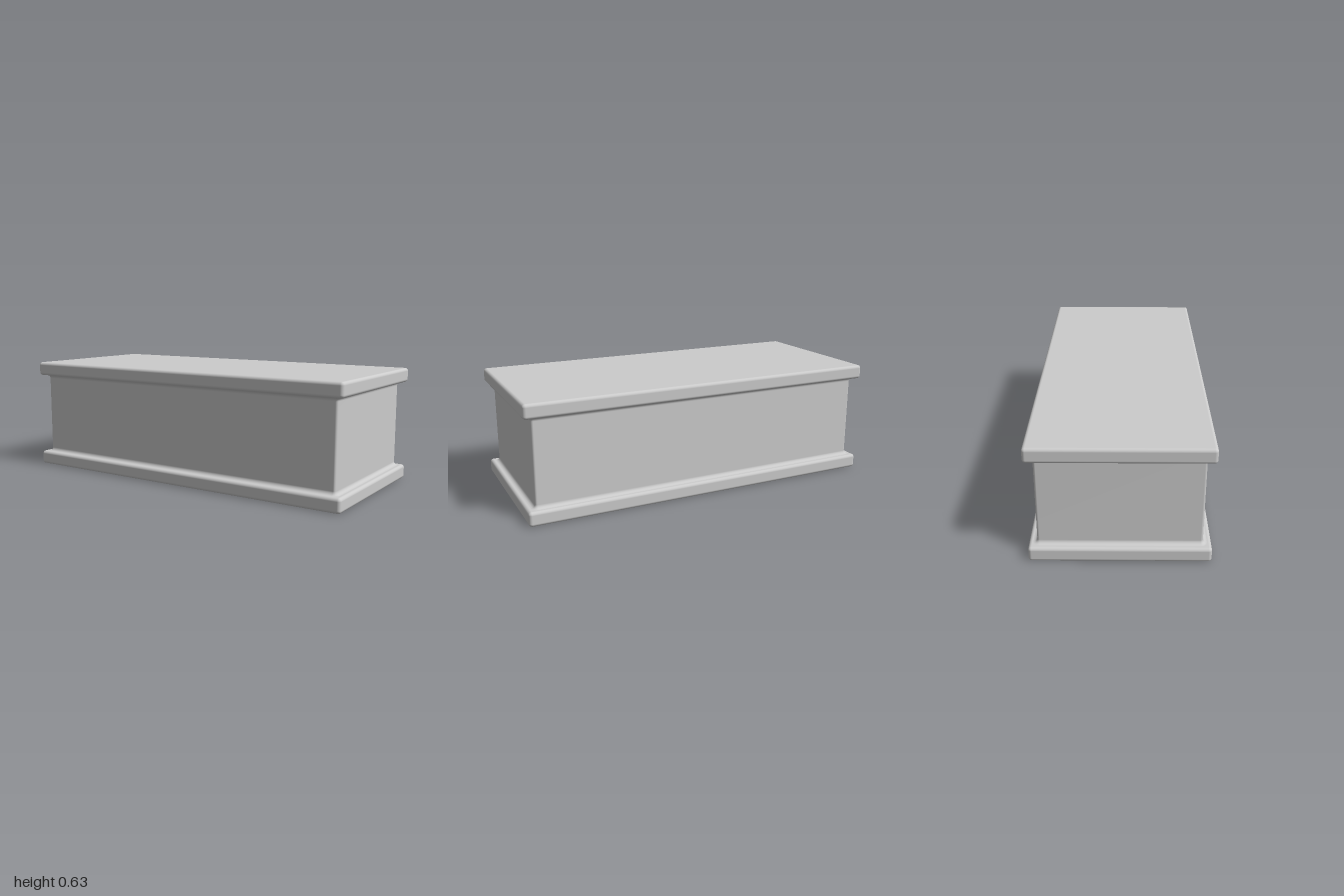
import * as THREE from 'three';
import { RoundedBoxGeometry } from 'three/addons/geometries/RoundedBoxGeometry.js';

const HALF_X = 0.955, HALF_Z = 0.402;   // body half sizes
const SLAB = 0.078, HEIGHT = 0.627;     // slab thickness, total height
const FILLET = 0.02, CORNER = 0.012;

// Rounded rectangle ring, counter-clockwise seen from above
function ring(out, y) {
  const points = [], steps = 3, r = CORNER + out;
  const signs = [[1, 1], [1, -1], [-1, -1], [-1, 1]];
  signs.forEach(([sx, sz], c) => {
    for (let i = 0; i <= steps; i++) {
      const a = Math.PI / 2 * (1 - c + -i / steps) + 0;
      points.push(sx * (HALF_X - CORNER) + r * Math.cos(a), y, sz * (HALF_Z - CORNER) + r * Math.sin(a));
    }
  });
  return points;
}

// Walls that flare with a concave fillet into both slabs
function bodyGeometry() {
  const profile = [], steps = 5;
  for (let i = 0; i <= steps; i++) {
    const a = (i / steps) * Math.PI / 2;
    profile.push([FILLET * (1 - Math.sin(a)), SLAB + FILLET * (1 - Math.cos(a))]);
  }
  for (let i = steps; i >= 0; i--) profile.push([profile[i][0], HEIGHT - profile[i][1]]);

  const positions = profile.flatMap(([out, y]) => ring(out, y));
  const n = 16, index = [];
  for (let j = 0; j < profile.length - 1; j++) {
    for (let i = 0; i < n; i++) {
      const a = j * n + i, b = j * n + (i + 1) % n;
      index.push(a, b, b + n, a, b + n, a + n);
    }
  }
  const g = new THREE.BufferGeometry();
  g.setAttribute('position', new THREE.Float32BufferAttribute(positions, 3));
  g.setIndex(index);
  g.computeVertexNormals();
  return g;
}

export function createModel() {
  const group = new THREE.Group();
  const material = new THREE.MeshStandardMaterial({ color: 0xcccccc });

  const body = new THREE.Mesh(bodyGeometry(), material);
  body.name = 'body';
  group.add(body);

  // Base and lid slabs with softened edges
  const slab = new RoundedBoxGeometry(2, SLAB, 0.888, 4, 0.017);
  for (const [name, y] of [['baseSlab', SLAB / 2], ['topSlab', HEIGHT - SLAB / 2]]) {
    const mesh = new THREE.Mesh(slab, material);
    mesh.name = name;
    mesh.position.y = y;
    group.add(mesh);
  }
  return group;
}
